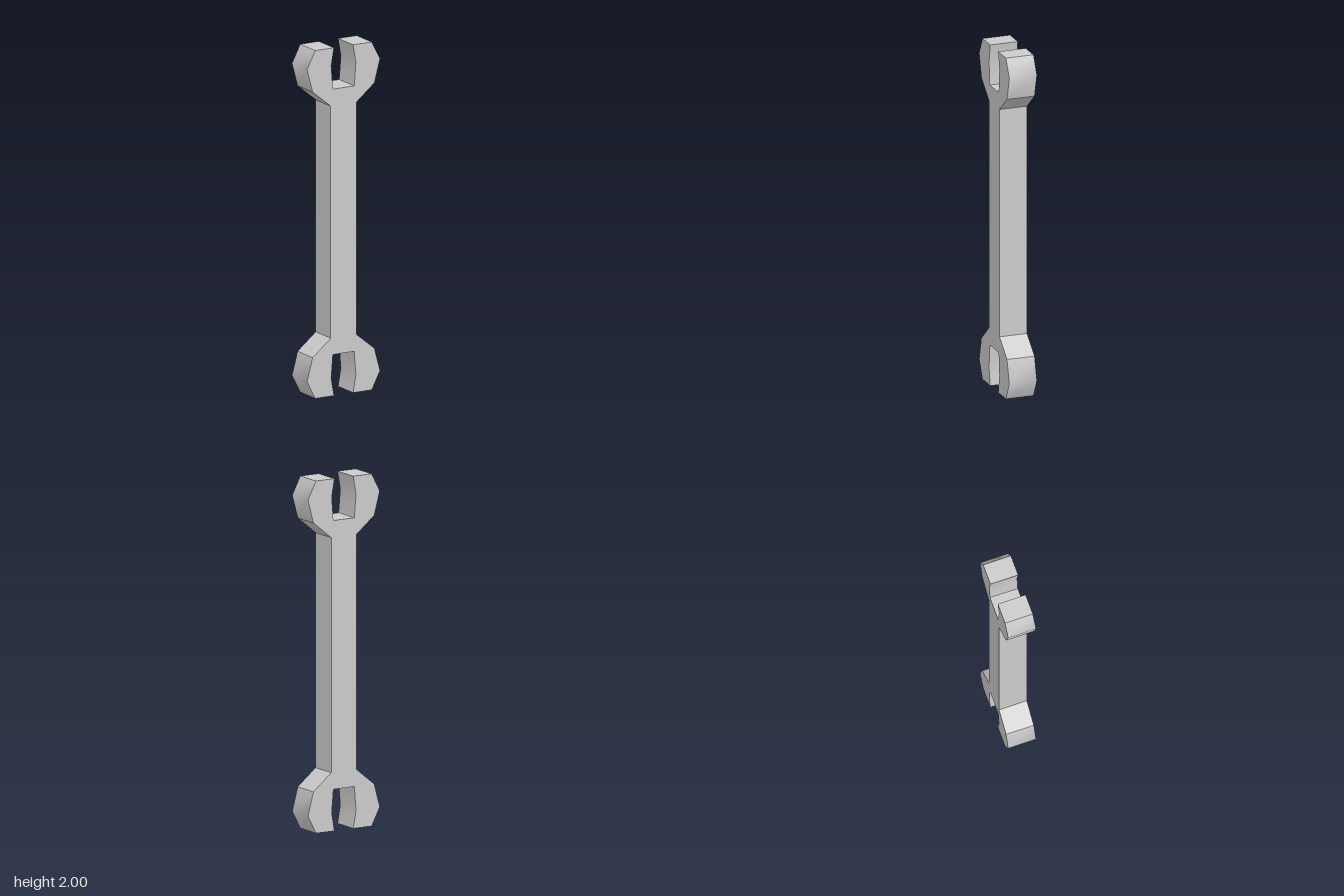
import * as THREE from 'three';
import { toCreasedNormals } from 'three/addons/utils/BufferGeometryUtils.js';

const DEPTH = 0.164;
const MID = 1; // mirror height between the two heads

export function createModel() {
  const group = new THREE.Group();
  group.name = 'openEndWrench';
  const material = new THREE.MeshStandardMaterial({ color: 0xcccccc });

  // Flat plate cut from an outline, centred on z = 0
  const plate = (name, points) => {
    const shape = new THREE.Shape(points.map(([x, y]) => new THREE.Vector2(x, y)));
    const geometry = new THREE.ExtrudeGeometry(shape, { depth: DEPTH, bevelEnabled: false });
    geometry.translate(0, 0, -DEPTH / 2);
    const mesh = new THREE.Mesh(toCreasedNormals(geometry, Math.PI / 4), material);
    mesh.name = name;
    group.add(mesh);
  };

  // Mirror a point given for the upper left quarter, y measured from the middle
  const mirror = (points, sx, sy) => points.map(([x, y]) => [x * sx, MID + y * sy]);

  // Straight handle flaring into a shoulder under each head
  const flare = [[0.083, 0.667], [0.2, 0.763]];
  const back = [...flare].reverse();
  const handle = [
    ...mirror(back, 1, -1), ...mirror(flare, 1, 1),
    ...mirror(back, -1, 1), ...mirror(flare, -1, -1),
  ];
  // Crisp facets where the shoulders meet the handle
  const shape = new THREE.Shape(handle.map(([x, y]) => new THREE.Vector2(x, y)));
  const handleGeometry = new THREE.ExtrudeGeometry(shape, { depth: DEPTH, bevelEnabled: false });
  handleGeometry.translate(0, 0, -DEPTH / 2);
  const handleMesh = new THREE.Mesh(handleGeometry, material);
  handleMesh.name = 'handle';
  group.add(handleMesh);

  // Two jaws at each end, with softly shaded inner and outer sides
  const jaw = [
    [0.2, 0.763], [0.236, 0.897], [0.183, 1],
    [0.062, 1], [0.08, 0.897], [0.069, 0.763],
  ];
  for (const [sy, end] of [[1, 'upper'], [-1, 'lower']]) {
    for (const [sx, side] of [[1, 'Left'], [-1, 'Right']]) {
      plate(`${end}${side}Jaw`, mirror(jaw, sx, sy));
    }
  }
  return group;
}
